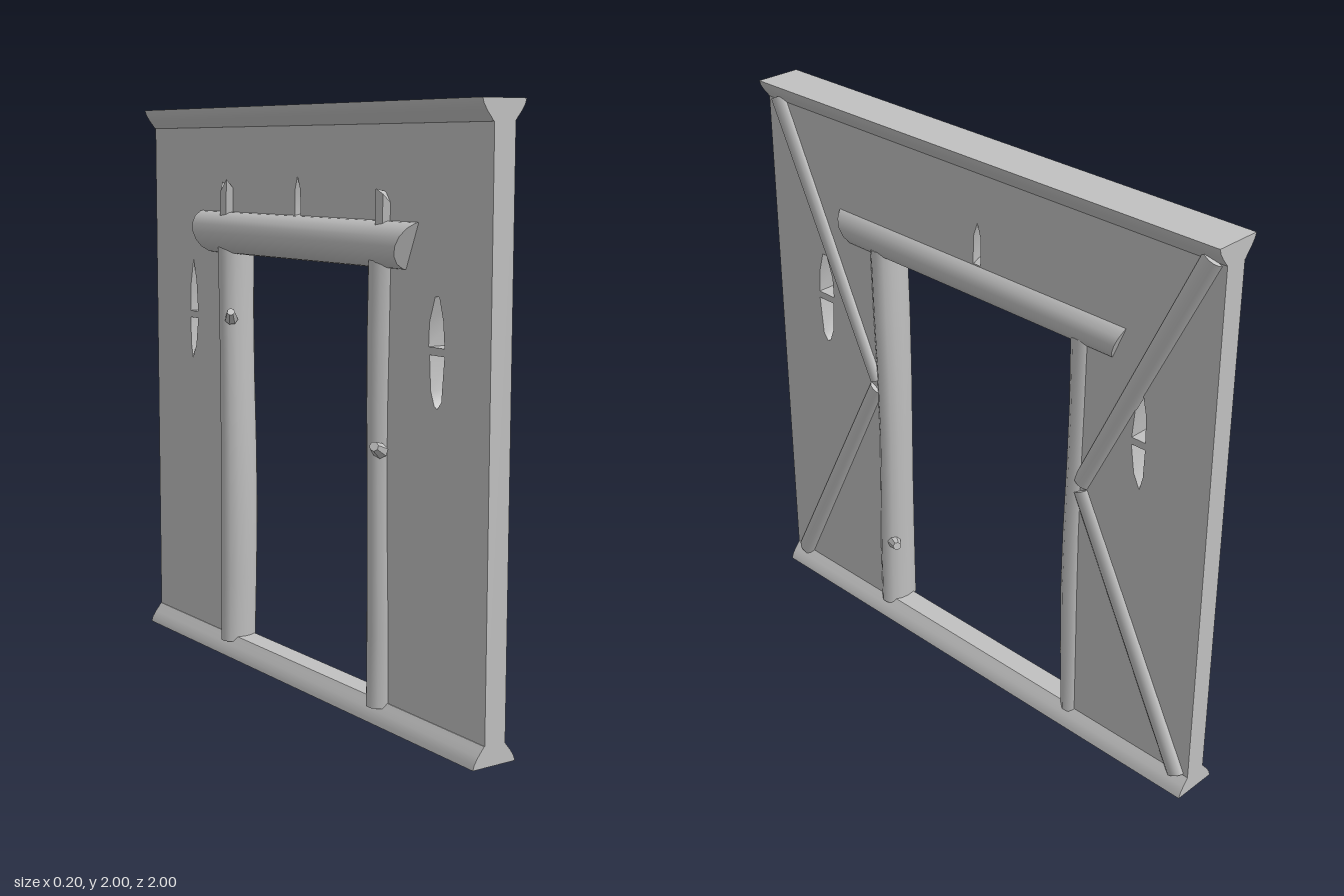
import * as THREE from 'three';
import { toCreasedNormals } from 'three/addons/utils/BufferGeometryUtils.js';

export function createModel() {
  const root = new THREE.Group();
  root.name = 'timberDoorwayWall';
  const wood = new THREE.MeshStandardMaterial({ color: 0xc0c0c0 });
  wood.name = 'grey';

  const add = (name, geometry, crease = 0.8) => {
    const mesh = new THREE.Mesh(toCreasedNormals(geometry, crease), wood);
    mesh.name = name;
    root.add(mesh);
    return mesh;
  };
  // move each vertex of a geometry by a rule
  const bend = (geometry, rule) => {
    const p = geometry.attributes.position, v = new THREE.Vector3();
    for (let i = 0; i < p.count; i++) {
      rule(v.fromBufferAttribute(p, i));
      p.setXYZ(i, v.x, v.y, v.z);
    }
    geometry.computeVertexNormals();
    return geometry;
  };
  // outline given as [z, y] pairs on the wall plane
  const outline = (pts) => pts.map(([z, y]) => new THREE.Vector2(-z, y));

  // wall panel with door opening and leaf-shaped slots
  const wall = new THREE.Shape(outline([[1, 0.06], [-1, 0.06], [-1, 1.94], [1, 1.94]]));
  const holes = [
    [[0.45, 0.061], [-0.45, 0.061], [-0.45, 1.54], [0.45, 1.54]],
    [[0, 1.62], [-0.035, 1.62], [-0.034, 1.72], [-0.02, 1.765], [-0.004, 1.72]],
    [[0.783, 1.255], [0.705, 1.255], [0.708, 1.33], [0.735, 1.41], [0.755, 1.41], [0.775, 1.34]],
    [[0.783, 1.23], [0.71, 1.23], [0.717, 1.12], [0.735, 1.075], [0.75, 1.065], [0.77, 1.09]],
    [[-0.69, 1.255], [-0.745, 1.255], [-0.742, 1.35], [-0.72, 1.45], [-0.7, 1.37]],
    [[-0.69, 1.23], [-0.745, 1.23], [-0.742, 1.13], [-0.73, 1.08], [-0.705, 1.13]],
  ];
  for (const h of holes) wall.holes.push(new THREE.Path(outline(h)));
  const panel = new THREE.ExtrudeGeometry(wall, { depth: 0.08, bevelEnabled: false });
  panel.rotateY(Math.PI / 2).translate(-0.025, 0, 0);
  add('wallPanel', panel);

  // flared sill and head rails
  const half = [[0.083, 0], [0.077, 0.018], [0.064, 0.038], [0.05, 0.055], [0.04, 0.068]];
  const profile = [...half, ...half.map(([x, y]) => [-x, y]).reverse()];
  for (const top of [false, true]) {
    const shape = new THREE.Shape(profile.map(([x, y]) => new THREE.Vector2(x, y)));
    const g = new THREE.ExtrudeGeometry(shape, { depth: 2, bevelEnabled: false });
    g.translate(0, 0, -1);
    if (top) g.rotateZ(Math.PI).translate(0, 2, 0);
    g.translate(0.0125, 0, 0);
    add(top ? 'headRail' : 'sillRail', g);
  }

  // slightly crooked door posts with broken tops above the lintel
  for (const s of [1, -1]) {
    const post = new THREE.CylinderGeometry(1, 1, 1.47, 14, 6);
    bend(post, (v) => {
      const y = v.y + 0.785;
      const r = 1 + 0.04 * Math.sin(y * 5 + s);
      v.set(v.x * 0.071 * r + 0.003, y,
        v.z * 0.05 * r + s * 0.457 + 0.006 * Math.sin(y * 4 + s));
    });
    add(s > 0 ? 'frontPost' : 'backPost', post);

    const stub = new THREE.CylinderGeometry(1, 1, 1, 7, 1);
    bend(stub, (v) => {
      const up = v.y > 0;
      const lift = up ? 1.7 - 0.03 * v.x + 0.025 * Math.sin(v.z * 4 + s) : 1.56;
      v.set(v.x * 0.042 - 0.015, lift, v.z * 0.033 + s * 0.47 + (up ? 0.006 : 0));
    });
    add(s > 0 ? 'frontPostTop' : 'backPostTop', stub, 0.4);
  }

  // lintel log with slanted ends
  const lintel = new THREE.CylinderGeometry(1, 1, 2, 16, 1).rotateX(Math.PI / 2);
  bend(lintel, (v) => {
    const s = Math.sign(v.z);
    v.set(v.x * 0.087 - 0.003, 1.558 + v.y * 0.078, s * (0.62 + v.y * 0.033 + v.x * 0.006));
  });
  add('lintel', lintel);

  // diagonal braces on one face
  const up = new THREE.Vector3(0, 1, 0);
  for (const s of [1, -1]) {
    for (const [name, y0, y1] of [['upperBrace', 1.945, 1.0], ['lowerBrace', 0.055, 0.97]]) {
      const a = new THREE.Vector3(0.05, y0, s * 0.95);
      const b = new THREE.Vector3(0.05, y1, s * 0.49);
      const d = b.clone().sub(a);
      const g = new THREE.CylinderGeometry(0.032, 0.038, d.length(), 12);
      g.scale(0.72, 1, 1);
      g.applyQuaternion(new THREE.Quaternion().setFromUnitVectors(up, d.clone().normalize()));
      g.translate(0.05, (y0 + y1) / 2, s * 0.72);
      add(name, g);
    }
  }

  // cut branch knots: base, tip, radius
  const knots = [
    [[0.05, 0.33, 0.43], [0.074, 0.34, 0.388], 0.025],
    [[-0.045, 1.25, -0.42], [-0.068, 1.28, -0.385], 0.024],
    [[-0.04, 0.9, 0.48], [-0.095, 0.925, 0.52], 0.026],
  ];
  for (const [p, q, r] of knots) {
    const a = new THREE.Vector3(...p), b = new THREE.Vector3(...q);
    const d = b.clone().sub(a);
    const g = new THREE.CylinderGeometry(r * 0.6, r, d.length(), 7);
    g.applyQuaternion(new THREE.Quaternion().setFromUnitVectors(up, d.clone().normalize()));
    const mid = a.add(b).multiplyScalar(0.5);
    g.translate(mid.x, mid.y, mid.z);
    add('branchKnot', g);
  }
  return root;
}
